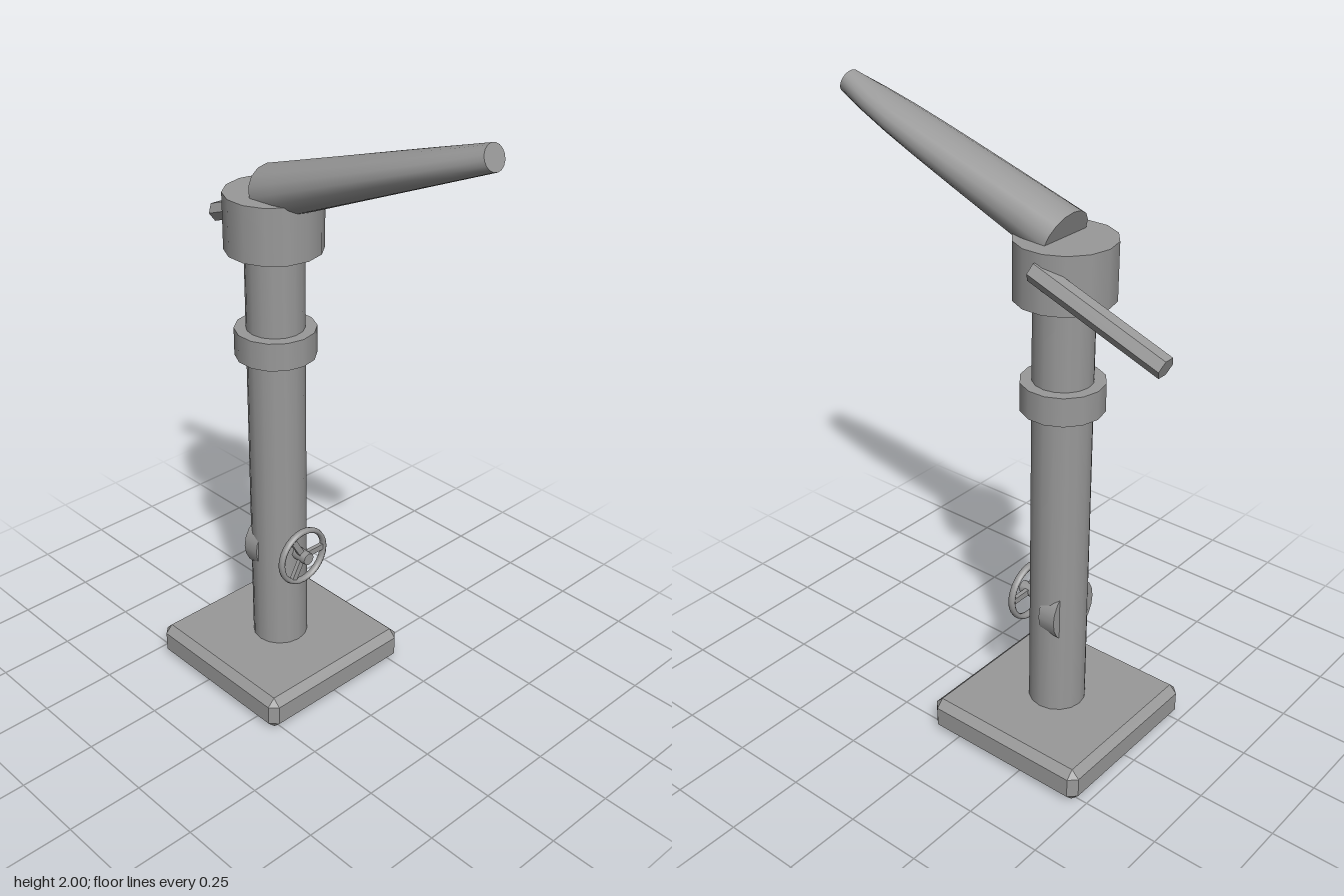
import * as THREE from 'three';
import { ConvexGeometry } from 'three/addons/geometries/ConvexGeometry.js';

const AXIS_Z = -0.189; // z of the column's axis
const TILT = -20 * Math.PI / 180;

export function createModel() {
  const model = new THREE.Group();
  const grey = new THREE.MeshStandardMaterial({ color: 0x999999 });
  grey.name = 'grey';

  const add = (name, geometry, x, y, z, parent = model) => {
    const mesh = new THREE.Mesh(geometry, grey);
    mesh.name = name;
    mesh.position.set(x, y, z);
    parent.add(mesh);
    return mesh;
  };
  const faceted = (geometry) => {
    const flat = geometry.toNonIndexed();
    flat.computeVertexNormals();
    return flat;
  };
  const upright = (name, radius, bottom, top, sides) =>
    add(name, new THREE.CylinderGeometry(radius, radius, top - bottom, sides),
      0, (bottom + top) / 2, AXIS_Z);

  // Base block with every edge chamfered
  const w = 0.288, h = 0.0575, b = 0.025;
  const corners = [];
  for (const sx of [-1, 1]) for (const sy of [-1, 1]) for (const sz of [-1, 1]) {
    corners.push(
      new THREE.Vector3(sx * w, sy * (h - b), sz * (w - b)),
      new THREE.Vector3(sx * (w - b), sy * h, sz * (w - b)),
      new THREE.Vector3(sx * (w - b), sy * (h - b), sz * w));
  }
  add('base', new ConvexGeometry(corners), 0, h, AXIS_Z);

  // Column, collar and swivel head
  upright('column', 0.091, 0.1, 1.52, 16);
  upright('collar', 0.127, 1.155, 1.245, 14);
  upright('head', 0.15, 1.5, 1.675, 14);

  // Barrel: an oval tube narrowing to a blunt tip
  const halfWidths = [0.093, 0.092, 0.09, 0.088, 0.085, 0.081, 0.074, 0.06, 0.038];
  const length = 0.86, rings = halfWidths.length - 1;
  const barrelShape = new THREE.CylinderGeometry(1, 1, length, 16, rings);
  barrelShape.rotateX(Math.PI / 2);
  const p = barrelShape.attributes.position;
  for (let i = 0; i < p.count; i++) {
    const t = p.getZ(i) / length + 0.5;
    p.setX(i, p.getX(i) * halfWidths[Math.round(t * rings)]);
    p.setY(i, p.getY(i) * THREE.MathUtils.lerp(0.082, 0.037, t));
  }
  barrelShape.computeVertexNormals();
  add('barrel', barrelShape, 0, 1.821, 0.216).rotation.x = TILT;

  // Six-sided lever on the left of the head
  const leverShape = new THREE.CylinderGeometry(0.033, 0.033, 0.46, 6);
  leverShape.rotateY(Math.PI / 2).rotateX(Math.PI / 2);
  add('lever', faceted(leverShape), 0.137, 1.54, -0.405).rotation.x = TILT;

  // Round drum set into the column
  const drumShape = new THREE.CylinderGeometry(0.1, 0.1, 0.058, 20);
  drumShape.rotateX(Math.PI / 2);
  add('drum', drumShape, 0, 0.465, -0.217);

  // Handwheel: rim, hub and three spokes
  const wheel = new THREE.Group();
  wheel.name = 'handwheel';
  wheel.position.set(0, 0.465, -0.074);
  model.add(wheel);
  add('rim', new THREE.TorusGeometry(0.091, 0.009, 8, 28), 0, 0, 0, wheel).scale.z = 1.4;
  const hubShape = new THREE.CylinderGeometry(0.021, 0.021, 0.058, 8);
  hubShape.rotateX(Math.PI / 2);
  add('hub', hubShape, 0, 0, 0, wheel);
  for (let i = 0; i < 3; i++) {
    const a = i * Math.PI * 2 / 3;
    add('spoke', new THREE.BoxGeometry(0.08, 0.02, 0.014),
      0.05 * Math.cos(a), 0.05 * Math.sin(a), 0, wheel).rotation.z = a;
  }

  return model;
}
